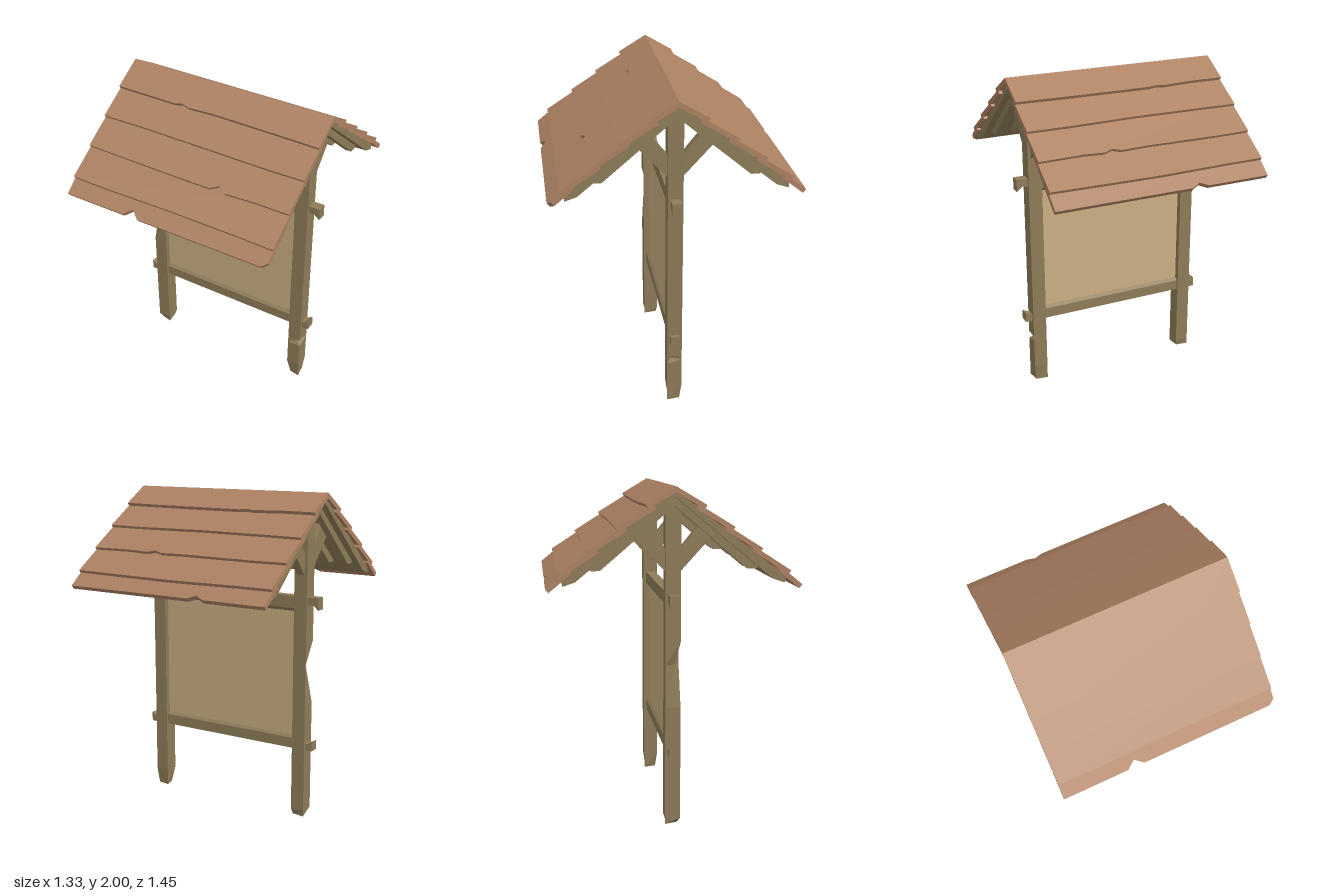
import * as THREE from 'three';

const material = (color) => new THREE.MeshStandardMaterial({ color, flatShading: true });
const wood = material(0x8e7c58), boardMat = material(0xc9ae82), roofMat = material(0xae8263);

const toShape = (pts) => new THREE.Shape(pts.map(([x, y]) => new THREE.Vector2(x, y)));
const extrude = (pts, depth) =>
  new THREE.ExtrudeGeometry(toShape(pts), { depth, bevelEnabled: false });

export function createModel() {
  const model = new THREE.Group();

  const add = (name, geometry, mat = wood, parent = model) => {
    const mesh = new THREE.Mesh(geometry, mat);
    mesh.name = name;
    parent.add(mesh);
    return mesh;
  };

  // Profile given as [z, y], run along x and centred on cx
  const alongX = (pts, width, cx = 0) =>
    extrude(pts, width).rotateY(-Math.PI / 2).translate(cx + width / 2, 0, 0);

  // Post with chips: each chip is [level, sideX, sideZ, dx, dz] moving one corner
  const post = (name, cx, levels, chips) => {
    const g = new THREE.BoxGeometry(0.085, 1, 0.09, 1, levels.length - 1, 1);
    const p = g.attributes.position;
    for (let i = 0; i < p.count; i++) {
      const level = Math.round((p.getY(i) + 0.5) * (levels.length - 1));
      let x = p.getX(i), z = p.getZ(i);
      const sx = Math.sign(x), sz = Math.sign(z);
      for (const [l, cxs, czs, dx, dz] of chips) {
        if (l === level && cxs === sx && czs === sz) { x += dx; z += dz; }
      }
      p.setXYZ(i, x + cx, levels[level], z);
    }
    add(name, g);
  };
  post('leftPost', 0.518, [0, 0.1, 0.27, 0.295, 0.32, 1.9], [
    [0, -1, 1, 0.022, -0.012], [0, 1, -1, -0.01, 0.012],
    [3, 1, 1, -0.028, -0.02],
  ]);
  post('rightPost', -0.518, [0, 0.035, 0.72, 0.97, 1.11, 1.9], [
    [0, -1, 1, 0.025, -0.015], [0, 1, -1, -0.01, 0.01],
    [3, -1, 1, 0.033, -0.03],
  ]);

  // Cross beams with flared tails passing through the posts
  const beam = (name, half) => {
    const left = half.map(([x, y]) => [-x, y]).reverse();
    add(name, extrude([...half, ...left], 0.06).translate(0, 0, -0.03));
  };
  beam('upperBeam', [[0.5, 1.31], [0.56, 1.335], [0.595, 1.34], [0.63, 1.31], [0.63, 1.385]]);
  beam('lowerBeam', [[0.605, 0.43], [0.605, 0.49], [0.575, 0.472], [0.55, 0.475], [0.5, 0.495]]);

  // Bevelled trims holding the board
  add('upperTrim', alongX([[-0.03, 1.31], [-0.012, 1.29], [0.012, 1.29], [0.03, 1.31]], 0.955));
  add('lowerTrim', alongX([[-0.03, 0.495], [0.03, 0.495], [0.012, 0.51], [-0.012, 0.51]], 0.955));
  add('noticeBoard', new THREE.BoxGeometry(0.955, 0.83, 0.02).translate(0, 0.9, 0), boardMat);

  // Each roof plank: upper and lower edge as [z, y], lower-edge notches as [x, halfWidth, depth]
  const T = 0.028, HALF = 0.665;
  const planks = [
    { a: [0, 2.0], b: [0.175, 1.896], notches: [[-0.22, 0.05, 0.012]] },
    { a: [0.125, 1.902], b: [0.336, 1.774], notches: [] },
    { a: [0.285, 1.785], b: [0.5, 1.65], notches: [[0.22, 0.05, 0.03]] },
    { a: [0.445, 1.664], b: [0.66, 1.526], notches: [] },
    { a: [0.6, 1.548], b: [0.726, 1.446], notches: [[-0.22, 0.05, 0.045]] },
  ];
  const plankGeometry = ({ a, b, notches }, index, side) => {
    const dz = b[0] - a[0], dy = a[1] - b[1];
    const length = Math.hypot(dz, dy), tilt = Math.atan2(dy, dz);
    const front = side > 0;
    const edge = [];
    for (const x of [-HALF, -0.4, 0, 0.45, HALF]) {
      const wave = index < 4 ? 0.004 * (1 + Math.sin(x * 5 + index * 2 + side)) : 0;
      edge.push([x, -length + wave]);
    }
    if (front && index === 4) edge.splice(4, 1, [HALF - 0.035, -length], [HALF, -length + 0.03]);
    for (const [x, w, d] of notches) {
      const depth = front ? d : d * 0.6;
      edge.push([x * side - w, -length], [x * side, -length + depth], [x * side + w, -length]);
    }
    edge.sort((p, q) => p[0] - q[0]);
    return extrude([...edge, [HALF, 0], [-HALF, 0]], T)
      .translate(0, 0, -T)
      .rotateX(tilt - Math.PI / 2)
      .translate(0, a[1], a[0]);
  };

  // Both slopes; the back one is turned half round
  for (const side of [1, -1]) {
    const slope = new THREE.Group();
    slope.name = side > 0 ? 'frontRoofSlope' : 'backRoofSlope';
    if (side < 0) slope.rotation.y = Math.PI;
    model.add(slope);

    planks.forEach((p, i) => add('roofPlank', plankGeometry(p, i, side), roofMat, slope));

    // Sheathing under the planks
    add('roofSheathing', alongX(
      [[0, 1.98], [0, 1.94], [0.56, 1.478], [0.63, 1.455], [0.63, 1.492]], 1.29), wood, slope);

    for (const s of [1, -1]) {
      // Rafters flanking each post
      for (const offset of [-0.064, 0.064]) {
        add('rafter', alongX(
          [[0, 1.945], [0, 1.89], [0.42, 1.533], [0.47, 1.533], [0.5, 1.55]],
          0.042, s * 0.518 + offset), wood, slope);
      }
      // Diagonal brace from post to roof
      add('brace', alongX(
        [[0.04, 1.512], [0.04, 1.642], [0.175, 1.81], [0.262, 1.755]],
        0.05, s * 0.518), wood, slope);
    }
  }

  return model;
}
